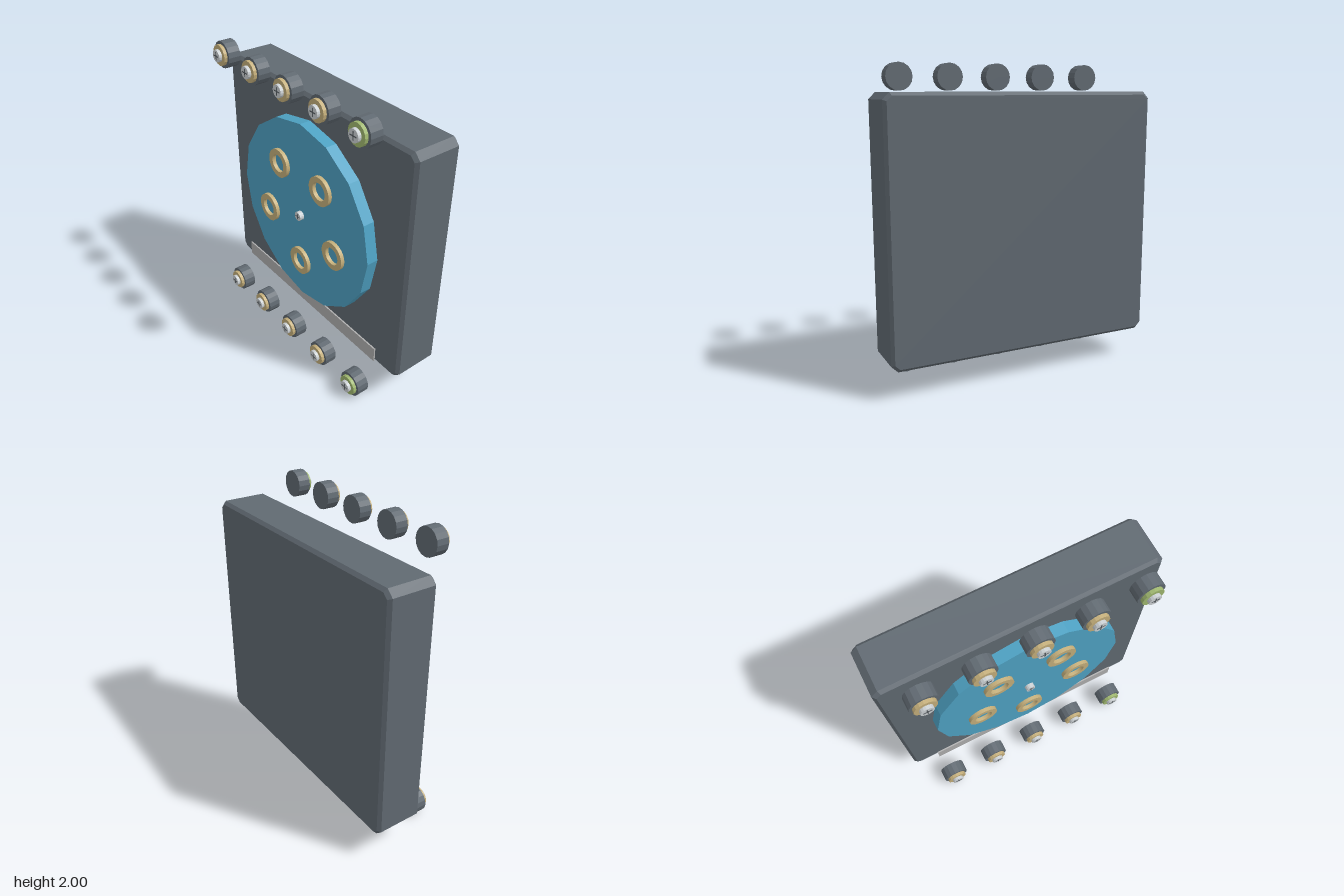
import * as THREE from 'three';

const mat = (color) => new THREE.MeshStandardMaterial({ color, flatShading: true });
const dark = mat(0x616a72), blue = mat(0x4fa3c5), brass = mat(0xc6b07c);
const green = mat(0xa0b870), steel = mat(0xcdd2d5), plate = mat(0xb0b0b0), slot = mat(0x555b60);

function add(parent, name, geometry, material, x = 0, y = 0, z = 0) {
  const mesh = new THREE.Mesh(geometry, material);
  mesh.name = name;
  mesh.position.set(x, y, z);
  parent.add(mesh);
  return mesh;
}

// Cylinder along z, from z0 to z1
function disc(parent, name, radius, z0, z1, sides, material) {
  const g = new THREE.CylinderGeometry(radius, radius, z1 - z0, sides).rotateX(Math.PI / 2);
  return add(parent, name, g, material, 0, 0, (z0 + z1) / 2);
}

// Screw head with a cross slot
function screw(parent, radius, z0, z1) {
  disc(parent, 'screwHead', radius, z0, z1, 16, steel);
  const length = radius * 1.3, width = radius * 0.17;
  add(parent, 'screwSlotAcross', new THREE.BoxGeometry(length, width, 0.004), slot, 0, 0, z1);
  add(parent, 'screwSlotUpright', new THREE.BoxGeometry(width, length, 0.004), slot, 0, 0, z1);
}

function group(parent, name, x, y) {
  const g = new THREE.Group();
  g.name = name;
  g.position.set(x, y, 0);
  parent.add(g);
  return g;
}

export function createModel() {
  const model = new THREE.Group();
  model.name = 'powerSocket';

  // Housing: square with cut corners and a bevel front and back
  const w = 0.88, h = 0.795, c = 0.03, bevel = 0.02;
  const outline = new THREE.Shape([
    [-w + c, -h], [w - c, -h], [w, -h + c], [w, h - c],
    [w - c, h], [-w + c, h], [-w, h - c], [-w, -h + c],
  ].map(([x, y]) => new THREE.Vector2(x, y)));
  const housing = new THREE.ExtrudeGeometry(outline, {
    depth: 0.283, bevelEnabled: true, bevelSegments: 1, bevelSize: bevel, bevelThickness: bevel,
  });
  add(model, 'housing', housing, dark, 0, 1.005, -0.26);

  // Sixteen-sided socket face
  const socket = group(model, 'socket', 0, 1.005);
  disc(socket, 'socketFace', 0.655, 0.04, 0.12, 16, blue);

  // Five contact rings, one at the bottom
  const ringShape = new THREE.Shape().absarc(0, 0, 0.098, 0, Math.PI * 2);
  ringShape.holes.push(new THREE.Path().absarc(0, 0, 0.06, 0, Math.PI * 2, true));
  const ring = new THREE.ExtrudeGeometry(ringShape, { depth: 0.025, bevelEnabled: false, curveSegments: 24 });
  for (let i = 0; i < 5; i++) {
    const a = -Math.PI / 2 + (i * Math.PI * 2) / 5;
    add(socket, 'contactRing', ring, brass, 0.365 * Math.cos(a), 0.365 * Math.sin(a), 0.12);
  }
  screw(socket, 0.031, 0.12, 0.15);

  // Blank label strip
  add(model, 'labelPlate', new THREE.BoxGeometry(1.44, 0.105, 0.01), plate, 0, 0.292, 0.078);

  // Screw terminals above and below, with the earth terminal at the left end
  for (const y of [1.913, 0.087]) {
    for (let i = -2; i <= 2; i++) {
      const terminal = group(model, i === 2 ? 'earthTerminal' : 'terminal', i * 0.335, y);
      disc(terminal, 'terminalBody', 0.087, 0.152, 0.235, 16, dark);
      disc(terminal, 'terminalWasher', 0.068, 0.235, 0.257, 16, i === 2 ? green : brass);
      screw(terminal, 0.04, 0.257, 0.278);
    }
  }
  return model;
}
